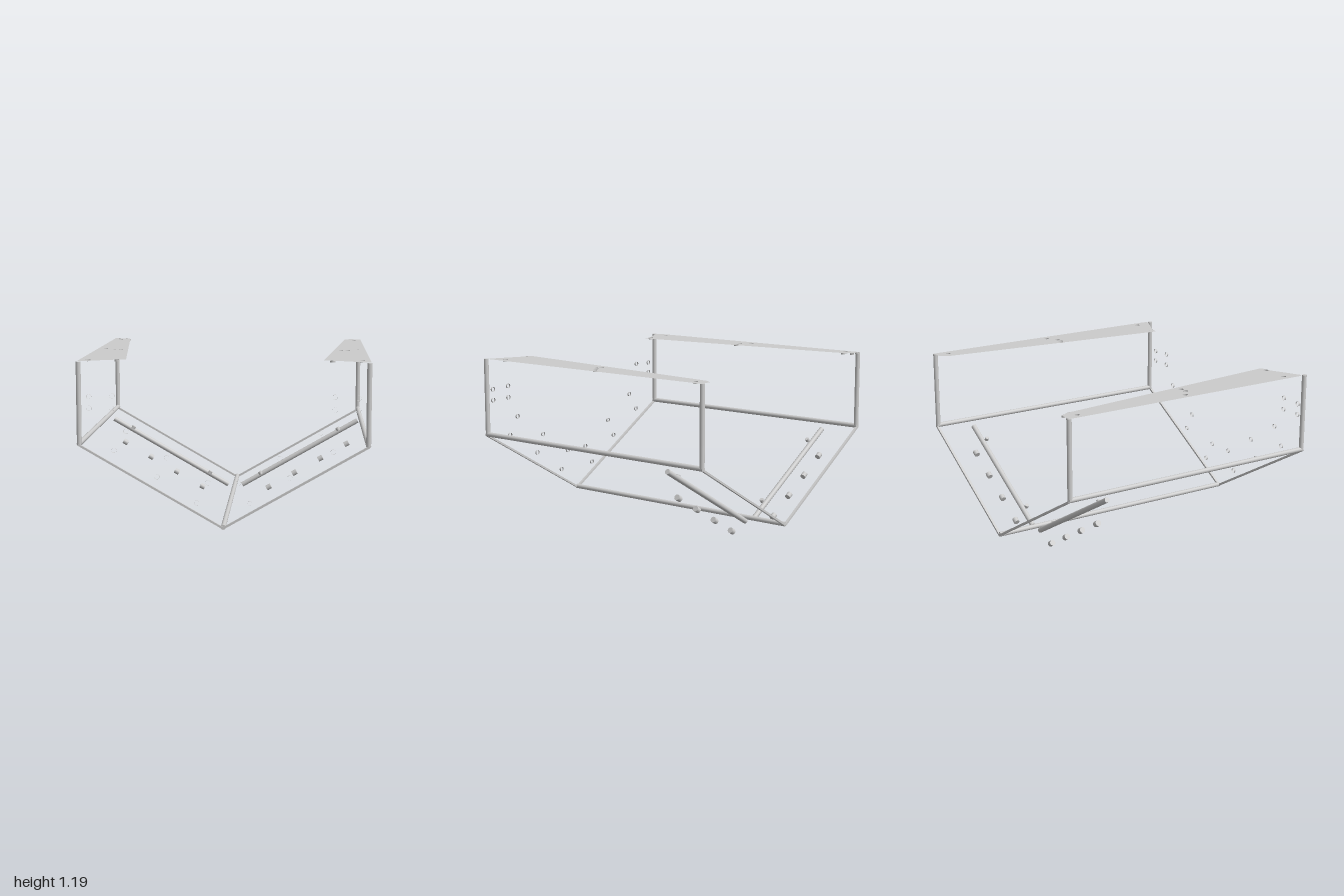
import * as THREE from 'three';

const mat = new THREE.MeshStandardMaterial({ color: 0xcccccc, side: THREE.DoubleSide });
const V = (x, y, z) => new THREE.Vector3(x, y, z);
const UP = V(0, 1, 0);

export function createModel() {
  const root = new THREE.Group();

  const add = (name, geometry, parent = root) => {
    const mesh = new THREE.Mesh(geometry, mat);
    mesh.name = name;
    parent.add(mesh);
    return mesh;
  };

  // Round bar or open ring between two points
  const rod = (name, a, b, r, { sides = 16, open = false } = {}, parent = root) => {
    const dir = b.clone().sub(a);
    const mesh = add(name, new THREE.CylinderGeometry(r, r, dir.length(), sides, 1, open), parent);
    mesh.position.copy(a).add(b).multiplyScalar(0.5);
    mesh.quaternion.setFromUnitVectors(UP, dir.normalize());
    return mesh;
  };
  const ring = (name, p, axis, r, depth, parent) =>
    rod(name, p.clone().addScaledVector(axis, -depth / 2), p.clone().addScaledVector(axis, depth / 2),
      r, { open: true }, parent);

  // Keel rail along the bottom of the V
  rod('keelRail', V(0, 0.07, -0.985), V(0, 0.07, 0.985), 0.017);

  const plateOutline = [[0.99, -0.98], [0.9, -0.98], [0.865, -0.93], [0.855, -0.85], [0.675, 0.8],
    [0.68, 0.83], [0.74, 0.835], [0.96, 0.945], [0.985, 0.945], [0.99, 0.92]];
  const plateHoles = [[0.935, -0.89], [0.935, -0.035], [0.81, 0.02], [0.86, 0.02], [0.935, 0.82], [0.735, 0.82]];
  const frontHoles = [[0.103, 0.377], [0.18, 0.237], [0.383, 0.547], [0.45, 0.415], [0.656, 0.725],
    [0.74, 0.594], [0.75, 0.966], [0.75, 0.88], [0.907, 0.96], [0.907, 0.88]];

  for (const s of [-1, 1]) {
    const side = new THREE.Group();
    side.name = s > 0 ? 'leftSide' : 'rightSide';
    root.add(side);

    // Long side rail, corner posts and sloping end strips
    rod('sideRail', V(s * 0.977, 0.637, -0.985), V(s * 0.977, 0.637, 0.985), 0.017, {}, side);
    for (const e of [-1, 1]) {
      rod('cornerPost', V(s * 0.977, 0.63, e * 0.975), V(s * 0.977, 1.195, e * 0.975), 0.017, {}, side);
      const run = V(s * 0.985, 0.568, 0);
      const strip = add('endStrip', new THREE.BoxGeometry(run.length(), 0.014, 0.018), side);
      strip.position.set(s * 0.492, 0.347, e * 0.982);
      strip.rotation.z = Math.atan2(run.y, run.x);
    }

    // Flat tapered top plate with drilled holes
    const shape = new THREE.Shape(plateOutline.map(([x, z]) => new THREE.Vector2(s * x, -z)));
    for (const [x, z] of plateHoles) {
      shape.holes.push(new THREE.Path().absarc(s * x, -z, 0.018, 0, Math.PI * 2, true));
      ring('plateHoleRim', V(s * x, 1.19, z), UP, 0.018, 0.012, side);
    }
    const plate = add('topPlate', new THREE.ShapeGeometry(shape, 12), side);
    plate.rotation.x = -Math.PI / 2;
    plate.position.y = 1.196;

    // Hole rims of the front panel
    for (const [x, y] of frontHoles) ring('frontHoleRim', V(s * x, y, 0.985), V(0, 0, 1), 0.017, 0.012, side);

    // Sloping cross rail with its pegs and rollers
    const a = V(s * 0.055, 0.055, -0.68), b = V(s * 0.965, 0.578, -0.68);
    const along = b.clone().sub(a).normalize();
    const normal = V(-s * along.y, Math.abs(along.x), 0);
    rod('crossRail', a, b, 0.019, {}, side);
    for (const [x, y] of [[0.2, 0.155], [0.81, 0.513]]) {
      const p = V(s * x, y, -0.65);
      rod('peg', p.clone().addScaledVector(normal, -0.012), p.clone().addScaledVector(normal, 0.012), 0.015, {}, side);
    }
    for (let i = 0; i < 4; i++) {
      const p = V(s * (0.265 + i * 0.2055), 0.031 + i * 0.1185, -0.708);
      rod('roller', p.clone().addScaledVector(along, -0.019), p.clone().addScaledVector(along, 0.019),
        0.021, { sides: 12 }, side);
    }
  }

  // Extra small rims on the rear corner of one plate
  for (const [x, z] of [[-0.965, -0.975], [-0.9, -0.97], [-0.872, -0.91]])
    ring('cornerRim', V(x, 1.19, z), UP, 0.015, 0.012);

  return root;
}
